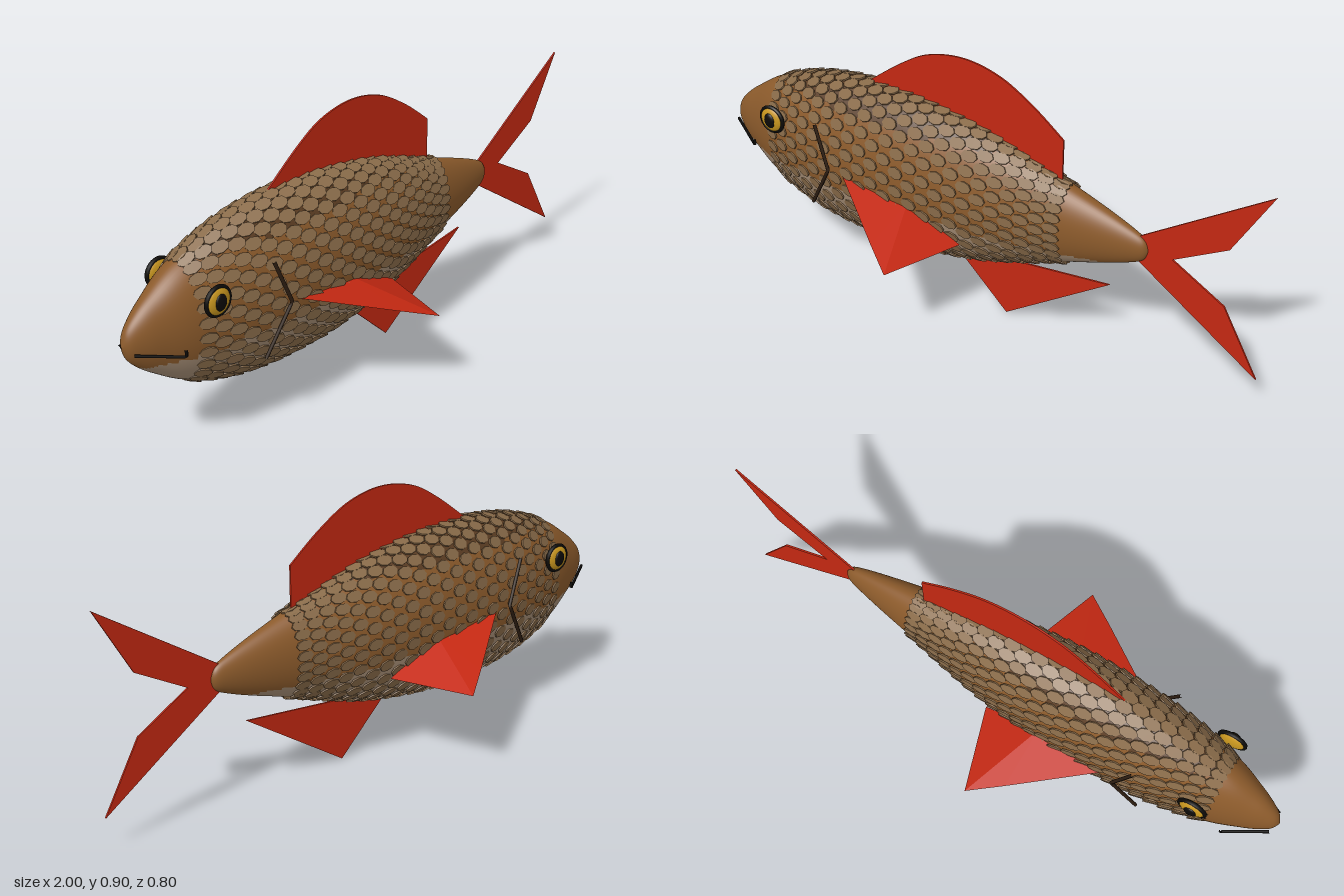
import * as THREE from 'three';
import { mergeGeometries } from 'three/addons/utils/BufferGeometryUtils.js';

const mat = (name, color, side = THREE.FrontSide) => {
  const m = new THREE.MeshStandardMaterial({ color, side });
  m.name = name;
  return m;
};

const MID_Y = 0.436; // height of the body axis
const WIDTH = 0.525; // body width relative to its height

// Half height of the body along its length
const profile = new THREE.SplineCurve([
  [-1, 0], [-0.985, 0.045], [-0.95, 0.085], [-0.9, 0.125], [-0.8, 0.19], [-0.65, 0.245],
  [-0.5, 0.272], [-0.35, 0.28], [-0.2, 0.275], [0, 0.243], [0.15, 0.2],
  [0.3, 0.148], [0.45, 0.098], [0.55, 0.06], [0.595, 0.035], [0.61, 0],
].map(([x, r]) => new THREE.Vector2(x, r)));
const samples = profile.getPoints(150);

function halfHeight(x) {
  const i = Math.max(1, samples.findIndex((p) => p.x >= x));
  const a = samples[i - 1], b = samples[i];
  return a.y + (b.y - a.y) * (x - a.x) / (b.x - a.x);
}

// Body skin in three bands: back, flank and belly
function bodyGeometry() {
  const rings = profile.getPoints(90), n = 64;
  const pos = [], bands = [[], [], []];
  for (const p of rings) {
    const r = Math.max(0, p.y);
    for (let j = 0; j < n; j++) {
      const t = (j / n) * Math.PI * 2;
      pos.push(p.x, MID_Y + r * Math.cos(t), r * WIDTH * Math.sin(t));
    }
  }
  for (let i = 0; i < rings.length - 1; i++) {
    for (let j = 0; j < n; j++) {
      const k = (j + 1) % n;
      const a = i * n + j, b = i * n + k, c = a + n, d = b + n;
      const y = (pos[a * 3 + 1] + pos[d * 3 + 1]) / 2;
      bands[y > 0.635 ? 0 : y > 0.355 ? 1 : 2].push(a, b, c, b, d, c);
    }
  }
  const g = new THREE.BufferGeometry();
  g.setAttribute('position', new THREE.Float32BufferAttribute(pos, 3));
  g.setIndex(bands.flat());
  let start = 0;
  bands.forEach((band, i) => { g.addGroup(start, band.length, i); start += band.length; });
  g.computeVertexNormals();
  return g;
}

// Staggered rings of small discs, tilted so their rear edges lift
function scalesGeometry() {
  const list = [], n = 26, step = 0.049;
  for (let i = 0; i < 23; i++) {
    const x = -0.77 + i * step;
    const r = halfHeight(x);
    const slope = (halfHeight(x + 0.01) - halfHeight(x - 0.01)) / 0.02;
    const size = 0.55 + 0.45 * r / 0.28;
    for (let j = 0; j < n; j++) {
      const t = ((j + (i % 2) / 2) / n) * Math.PI * 2;
      const ny = Math.cos(t) * WIDTH, nz = Math.sin(t), len = Math.hypot(ny, nz);
      const normal = new THREE.Vector3(-slope * WIDTH / len - 0.16, ny / len, nz / len).normalize();
      const around = new THREE.Vector3(1, 0, 0).cross(normal).normalize();
      const along = normal.clone().cross(around);
      const m = new THREE.Matrix4().makeBasis(along, normal, around.negate().negate());
      m.scale(new THREE.Vector3(0.03, 0.005, 0.021 * size));
      m.setPosition(x, MID_Y + (r + 0.003) * Math.cos(t), (r * WIDTH + 0.003) * Math.sin(t));
      list.push(new THREE.CylinderGeometry(1, 1, 1, 8).applyMatrix4(m));
    }
  }
  return mergeGeometries(list);
}

// Flat fin cut from an outline, centred on z = 0
function finGeometry(shape) {
  const g = new THREE.ExtrudeGeometry(shape, { depth: 0.006, bevelEnabled: false, curveSegments: 24 });
  return g.translate(0, 0, -0.003);
}
const outline = (pts) => new THREE.Shape(pts.map(([x, y]) => new THREE.Vector2(x, y)));

// Thin strip following straight segments
function strip(points, radius) {
  const path = new THREE.CurvePath();
  const v = points.map((p) => new THREE.Vector3(...p));
  for (let i = 1; i < v.length; i++) path.add(new THREE.LineCurve3(v[i - 1], v[i]));
  return new THREE.TubeGeometry(path, 24, radius, 6);
}

export function createModel() {
  const model = new THREE.Group();
  const back = mat('dark brown back', 0x5a3c22);
  const flank = mat('brown flank', 0x8b5a2b);
  const belly = mat('pale belly', 0xa48c74);
  const scale = mat('tan scale', 0x8a6c4a);
  const red = mat('red fin', 0xc42812, THREE.DoubleSide);
  const gold = mat('gold iris', 0xc8961e);
  const black = mat('black', 0x0c0a08);
  const gillBrown = mat('gill brown', 0x2e1e12);

  const add = (name, geometry, material, parent = model) => {
    const mesh = new THREE.Mesh(geometry, material);
    mesh.name = name;
    parent.add(mesh);
    return mesh;
  };

  add('body', bodyGeometry(), [back, flank, belly]);
  add('scales', scalesGeometry(), scale);

  // Fins on the centre line
  const dorsal = outline([[-0.45, 0.66], [-0.45, 0.7]]);
  dorsal.splineThru([[-0.3, 0.815], [-0.19, 0.877], [-0.06, 0.9], [0.07, 0.876],
    [0.19, 0.81], [0.302, 0.725]].map(([x, y]) => new THREE.Vector2(x, y)));
  dorsal.lineTo(0.302, 0.55);
  add('dorsalFin', finGeometry(dorsal), red);
  add('tailFin', finGeometry(outline([[0.55, 0.436], [0.56, 0.47], [0.995, 0.762], [0.87, 0.54],
    [0.69, 0.437], [0.87, 0.335], [0.995, 0.112], [0.56, 0.402]])), red);
  add('analFin', finGeometry(outline([[-0.09, 0.19], [0.105, 0.003], [0.482, 0.262], [0, 0.205]])), red);

  // Paired parts on each side
  for (const s of [1, -1]) {
    const side = s > 0 ? 'right' : 'left';

    // Side fin folded along a crease
    const root = [-0.46, 0.425, 0.135 * s], crease = [-0.2, 0.39, 0.125 * s];
    const edge = [-0.2, 0.343, 0.326 * s], tip = [-0.095, 0.31, 0.4 * s], rear = [0, 0.3, 0.12 * s];
    const tris = [[root, edge, crease], [crease, edge, tip], [crease, tip, rear]];
    const fin = new THREE.BufferGeometry();
    fin.setAttribute('position', new THREE.Float32BufferAttribute(
      tris.map(([a, b, c]) => (s > 0 ? [a, b, c] : [a, c, b])).flat(2), 3));
    fin.computeVertexNormals();
    add(side + 'PectoralFin', fin, red);

    // Eye: iris, dark rim and pupil
    const eye = new THREE.Group();
    eye.name = side + 'Eye';
    eye.position.set(-0.748, 0.531, 0.127 * s);
    add('iris', new THREE.SphereGeometry(1, 24, 16), gold, eye).scale.set(0.044, 0.044, 0.017);
    add('rim', new THREE.TorusGeometry(0.044, 0.007, 8, 28), black, eye);
    const pupil = add('pupil', new THREE.SphereGeometry(1, 16, 12), black, eye);
    pupil.scale.set(0.022, 0.027, 0.009);
    pupil.position.z = 0.013 * s;
    model.add(eye);

    add(side + 'Gill', strip([[-0.547, 0.585, 0.15 * s], [-0.49, 0.436, 0.163 * s],
      [-0.58, 0.272, 0.14 * s]], 0.006), gillBrown);
    add(side + 'Mouth', strip([[-0.985, 0.418, 0.034 * s], [-0.855, 0.386, 0.105 * s],
      [-0.855, 0.41, 0.105 * s]], 0.005), black);
  }
  return model;
}
